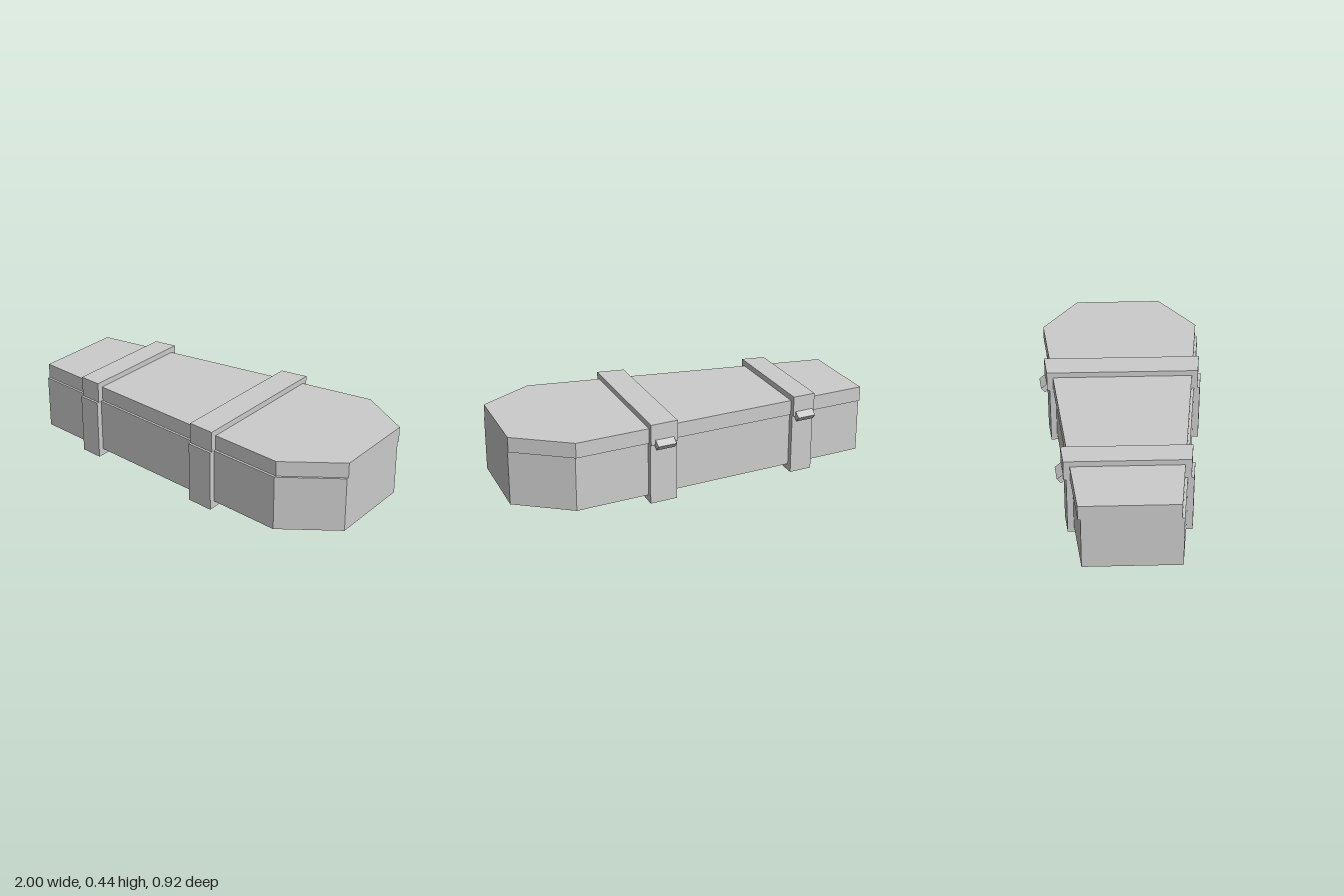
import * as THREE from 'three';

const material = new THREE.MeshStandardMaterial({ color: 0xcccccc, flatShading: true });
const SLOPE = 0.1135;                                  // taper of the long sides
const halfWidth = (x) => 0.252 + SLOPE * (x + 1);

// Upright prism from one side of a mirrored plan outline [x, half width]
function prism(name, plan, y0, y1, z) {
  const points = [
    ...plan.map(([x, w]) => new THREE.Vector2(x, -w)),
    ...plan.slice().reverse().map(([x, w]) => new THREE.Vector2(x, w)),
  ];
  const geometry = new THREE.ExtrudeGeometry(new THREE.Shape(points), { depth: y1 - y0, bevelEnabled: false });
  geometry.rotateX(-Math.PI / 2);
  const mesh = new THREE.Mesh(geometry, material);
  mesh.name = name;
  mesh.position.set(0, y0, z);
  return mesh;
}

export function createModel() {
  const group = new THREE.Group();
  group.name = 'coffin';
  const SEAM = 0.331, SHIFT = 0.0145;                  // the lid sits slightly off the body

  // Six-sided box and lid
  const plan = [[-1, halfWidth(-1)], [0.706, halfWidth(0.706)], [1, 0.246]];
  group.add(prism('body', plan, 0.036, SEAM, SHIFT));
  group.add(prism('lid', plan, SEAM, 0.412, 0.001));

  // Straps around the box, each with a tilted latch at the back
  for (const [x0, x1, side] of [[-0.68, -0.55, 'foot'], [0.15, 0.302, 'head']]) {
    const strapPlan = [x0, x1].map((x) => [x, halfWidth(x) + 0.033]);
    group.add(prism(side + 'StrapLower', strapPlan, 0, SEAM, SHIFT));
    group.add(prism(side + 'StrapUpper', strapPlan, SEAM, 0.443, 0.001));

    const x = (x0 + x1) / 2 - 0.002;
    const latch = new THREE.Mesh(new THREE.BoxGeometry(0.105, 0.034, 0.045), material);
    latch.name = side + 'Latch';
    latch.rotation.set(-0.68, SLOPE, 0, 'YXZ');
    latch.position.set(x, 0.332, -(halfWidth(x) + 0.033) - 0.003);
    group.add(latch);
  }
  return group;
}
